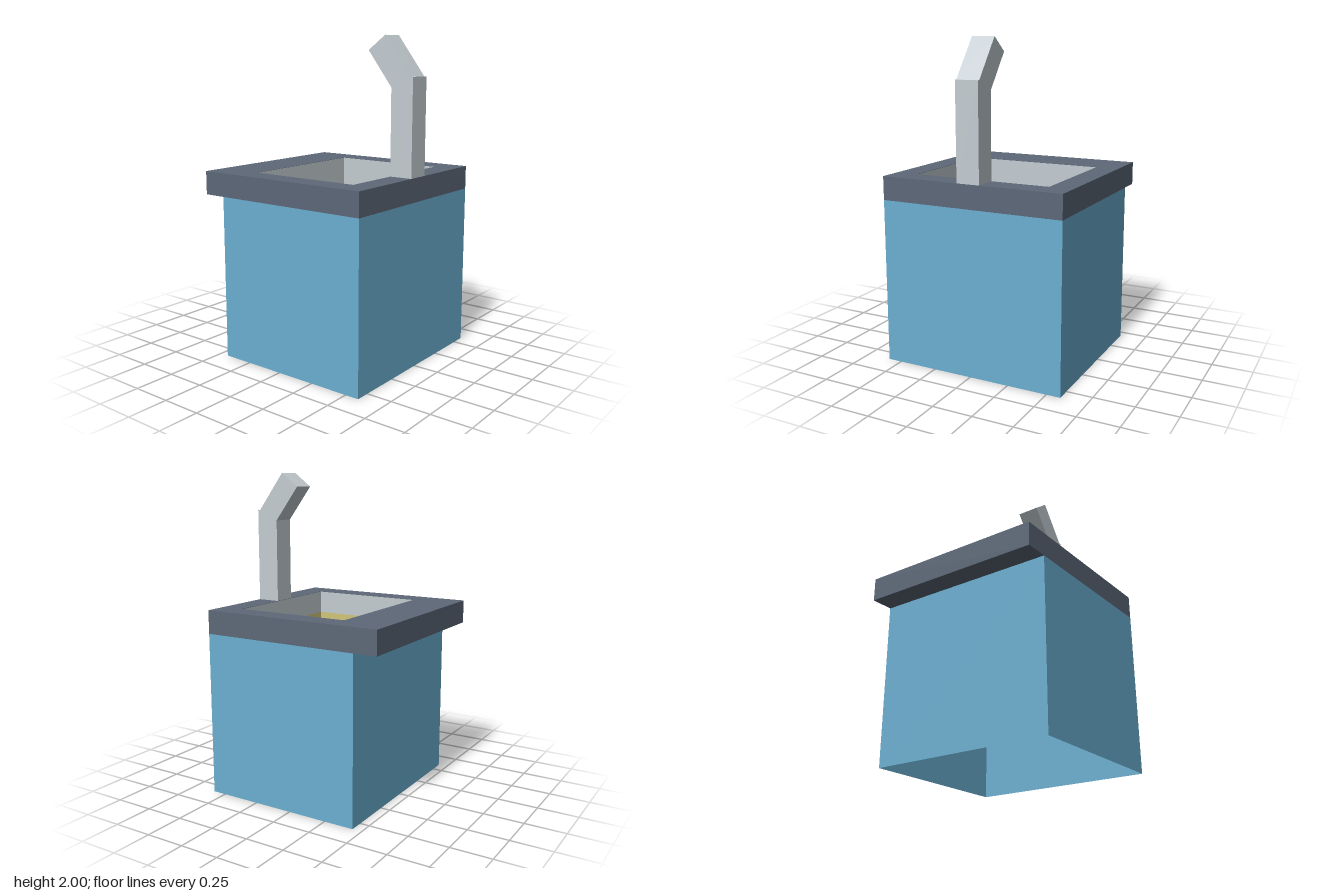
import * as THREE from 'three';

export function createModel() {
  const model = new THREE.Group();
  const material = (name, color, side = THREE.FrontSide) => {
    const m = new THREE.MeshStandardMaterial({ color, side });
    m.name = name;
    return m;
  };
  const blue = material('cabinet blue', 0x6bafd1, THREE.DoubleSide);
  const slate = material('counter slate', 0x5d6878);
  const steel = material('steel grey', 0xc4cdd2, THREE.DoubleSide);
  const yellow = material('basin yellow', 0xd0c678, THREE.DoubleSide);

  const u = 0.147; // basic module of the design
  const top = 8 * u, under = 7 * u, floorY = 3 * u;

  const add = (name, geometry, mat, parent = model) => {
    const mesh = new THREE.Mesh(geometry, mat);
    mesh.name = name;
    parent.add(mesh);
    return mesh;
  };

  // Upright thin panel between two heights, centred on x, z
  const panel = (name, parent, mat, width, y0, y1, x, z, turn) => {
    const mesh = add(name, new THREE.PlaneGeometry(width, y1 - y0), mat, parent);
    mesh.position.set(x, (y0 + y1) / 2, z);
    mesh.rotation.y = turn;
  };

  // Cabinet: four walls, open underneath, set back under the counter
  const cabinet = new THREE.Group();
  cabinet.name = 'cabinet';
  model.add(cabinet);
  panel('cabinetFront', cabinet, blue, 8 * u, 0, under, 0, 4 * u, 0);
  panel('cabinetBack', cabinet, blue, 8 * u, 0, under, 0, -3 * u, Math.PI);
  for (const s of [-1, 1]) {
    panel('cabinetSide', cabinet, blue, 7 * u, 0, under, s * 4 * u, u / 2, s * Math.PI / 2);
  }

  // Counter slab with a rectangular basin opening
  const rect = (Type, x, y0, y1) => new Type([
    new THREE.Vector2(-x, y0), new THREE.Vector2(x, y0),
    new THREE.Vector2(x, y1), new THREE.Vector2(-x, y1),
  ]);
  const slab = rect(THREE.Shape, 4 * u, -4 * u, 4 * u);
  slab.holes.push(rect(THREE.Path, 3 * u, -3 * u, 2 * u));
  const slabGeometry = new THREE.ExtrudeGeometry(slab, { depth: u, bevelEnabled: false });
  slabGeometry.rotateX(-Math.PI / 2).translate(0, under, 0);
  add('counter', slabGeometry, slate);

  // Basin: steel lining, with yellow lower walls on two sides and a yellow floor
  const basin = new THREE.Group();
  basin.name = 'basin';
  model.add(basin);
  const gap = 0.002;
  const x = 3 * u - gap, zFront = 3 * u - gap, zBack = -2 * u + gap;
  const rim = top - 0.001, depth = zFront - zBack, zMid = (zFront + zBack) / 2;
  panel('basinBackWall', basin, steel, 2 * x, floorY, rim, 0, zBack, 0);
  panel('basinLeftWall', basin, steel, depth, floorY, rim, x, zMid, -Math.PI / 2);
  for (const [part, mat, y0, y1] of [['Rim', steel, under, rim], ['Wall', yellow, floorY, under]]) {
    panel('basinFront' + part, basin, mat, 2 * x, y0, y1, 0, zFront, Math.PI);
    panel('basinRight' + part, basin, mat, depth, y0, y1, -x, zMid, Math.PI / 2);
  }
  const floor = add('basinFloor', new THREE.PlaneGeometry(2 * x, depth), yellow, basin);
  floor.rotation.x = -Math.PI / 2;
  floor.position.set(0, floorY, zMid);

  // Faucet: square post with a head leaning over the basin, profile in z and y
  const profile = new THREE.Shape([
    [4 * u, top], [4 * u, 1.763], [0.573, 1.763], [0.393, 2],
    [0.278, 1.914], [3 * u, 1.7], [3 * u, top],
  ].map(([z, y]) => new THREE.Vector2(z, y)));
  const faucet = new THREE.ExtrudeGeometry(profile, { depth: u, bevelEnabled: false });
  faucet.rotateY(-Math.PI / 2).translate(u / 2, 0, 0);
  add('faucet', faucet, steel);

  return model;
}
